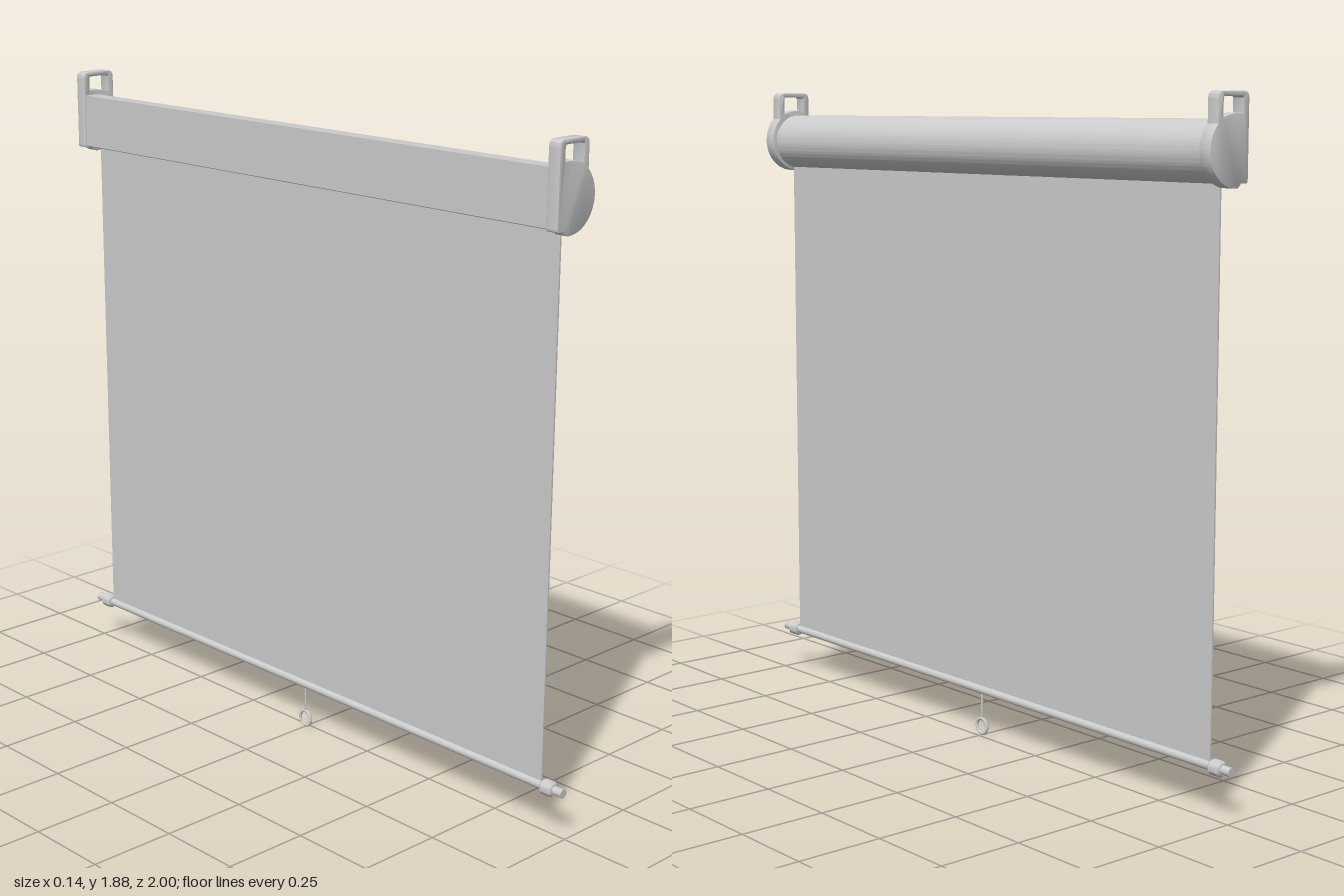
import * as THREE from 'three';
import { toCreasedNormals } from 'three/addons/utils/BufferGeometryUtils.js';

const material = new THREE.MeshStandardMaterial({ color: 0xcccccc });
const SCREEN_X = -0.012, BAR_Y = 0.138;

function part(name, geometry, x = 0, y = 0, z = 0) {
  const mesh = new THREE.Mesh(geometry, material);
  mesh.name = name;
  mesh.position.set(x, y, z);
  return mesh;
}

// Extrudes a side profile along z, centred on z = 0
function extrude(shape, depth, bevel = 0) {
  const geometry = new THREE.ExtrudeGeometry(shape, {
    depth: depth - 2 * bevel, curveSegments: 32, bevelEnabled: bevel > 0,
    bevelSize: bevel, bevelOffset: -bevel, bevelThickness: bevel, bevelSegments: 2,
  });
  geometry.translate(0, 0, -depth / 2 + bevel);
  return toCreasedNormals(geometry, 0.5);
}

// Flat back and top, rounded front
function housingShape() {
  const s = new THREE.Shape();
  s.moveTo(-0.068, 1.655);
  s.lineTo(-0.045, 1.648);
  s.absarc(-0.027, 1.7265, 0.0815, -1.79, Math.PI / 2, false);
  s.lineTo(-0.068, 1.808);
  s.closePath();
  return s;
}

// D-shaped plate with a carrying loop above it
function capShape() {
  const s = new THREE.Shape();
  s.moveTo(-0.07, 1.655);
  s.quadraticCurveTo(-0.07, 1.648, -0.063, 1.648);
  s.lineTo(-0.045, 1.648);
  s.quadraticCurveTo(-0.042, 1.639, -0.03, 1.636);
  s.absarc(-0.026, 1.73, 0.094, -1.62, 0.79, false);
  s.lineTo(0.04, 1.858);
  s.quadraticCurveTo(0.04, 1.877, 0.022, 1.877);
  s.lineTo(-0.052, 1.877);
  s.quadraticCurveTo(-0.07, 1.877, -0.07, 1.859);
  s.closePath();

  const hole = new THREE.Path();
  hole.moveTo(-0.05, 1.823);
  hole.lineTo(-0.05, 1.857);
  hole.quadraticCurveTo(-0.05, 1.864, -0.043, 1.864);
  hole.lineTo(0.015, 1.864);
  hole.quadraticCurveTo(0.022, 1.864, 0.022, 1.857);
  hole.lineTo(0.022, 1.813);
  hole.quadraticCurveTo(-0.01, 1.825, -0.05, 1.823);
  s.holes.push(hole);
  return s;
}

function rod(radius, length) {
  return new THREE.CylinderGeometry(radius, radius, length, 24).rotateX(Math.PI / 2);
}

export function createModel() {
  const model = new THREE.Group();
  model.name = 'rollUpScreen';

  // Roller housing and hanging fabric
  model.add(part('housing', extrude(housingShape(), 1.86)));
  model.add(part('fabric', new THREE.BoxGeometry(0.005, 1.54, 1.85), SCREEN_X, 0.91, 0));

  // Bottom bar, with its thin ends reaching past the collars
  model.add(part('bottomBar', rod(0.0125, 2), SCREEN_X, BAR_Y, 0));

  // End caps and chamfered bar collars, mirrored at both ends
  const capGeometry = extrude(capShape(), 0.038, 0.002);
  const collarProfile = [[0, -0.02], [0.016, -0.02], [0.022, -0.013], [0.022, 0.013], [0.016, 0.02], [0, 0.02]]
    .map(([r, h]) => new THREE.Vector2(r, h));
  const collarGeometry = toCreasedNormals(
    new THREE.LatheGeometry(collarProfile, 24).rotateX(Math.PI / 2), 0.5);
  for (const [side, sign] of [['front', 1], ['back', -1]]) {
    model.add(part(side + 'EndCap', capGeometry, 0, 0, sign * 0.944));
    model.add(part(side + 'Collar', collarGeometry, SCREEN_X, BAR_Y, sign * 0.949));
  }

  // Pull cord and ring
  model.add(part('pullCord', new THREE.CylinderGeometry(0.003, 0.003, 0.085, 12), SCREEN_X, 0.0925, 0));
  model.add(part('pullRing', new THREE.TorusGeometry(0.0225, 0.0045, 12, 36).rotateY(Math.PI / 2), SCREEN_X, 0.027, 0));

  return model;
}
